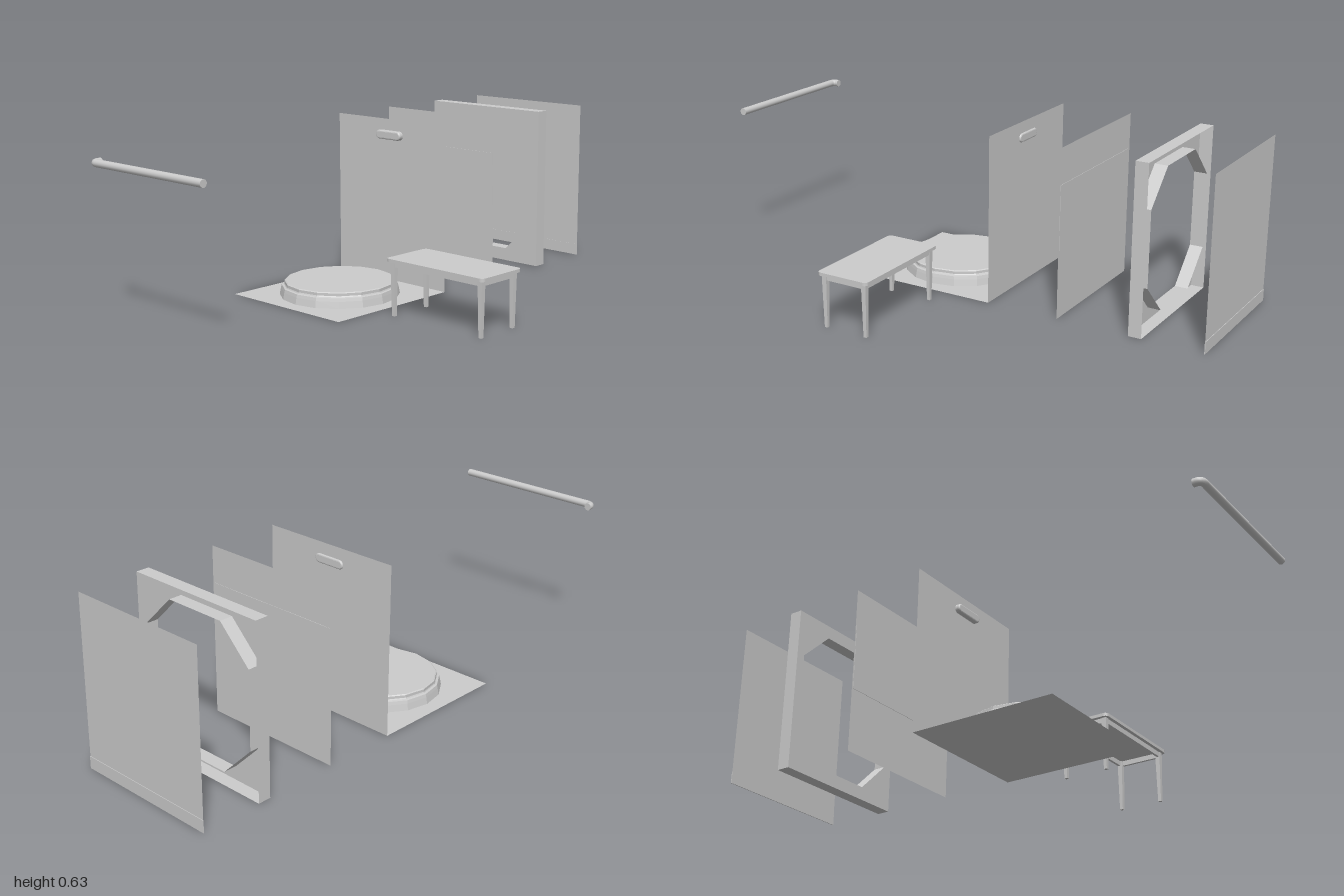
import * as THREE from 'three';
import { mergeVertices } from 'three/addons/utils/BufferGeometryUtils.js';

const CX = -0.235, W = 0.56, H = 0.635; // shared panel centre, width and height
const smooth = new THREE.MeshStandardMaterial({ color: 0xcccccc, side: THREE.DoubleSide });
const flat = new THREE.MeshStandardMaterial({ color: 0xcccccc, side: THREE.DoubleSide, flatShading: true });

export function createModel() {
  const model = new THREE.Group();

  const add = (name, geometry, x = 0, y = 0, z = 0, material = flat, parent = model) => {
    const mesh = new THREE.Mesh(geometry, material);
    mesh.name = name;
    mesh.position.set(x, y, z);
    parent.add(mesh);
    return mesh;
  };
  const group = (name) => {
    const g = new THREE.Group();
    g.name = name;
    model.add(g);
    return g;
  };

  // Floor sheet and three upright sheets
  add('floor', new THREE.PlaneGeometry(W, W), CX, 0, 0.13).rotation.x = -Math.PI / 2;
  add('frontWall', new THREE.PlaneGeometry(W, H), CX, H / 2, -0.15);
  add('middleWall', new THREE.PlaneGeometry(W, H), CX, H / 2, -0.435);
  add('middleWallPane', new THREE.BoxGeometry(W - 0.01, 0.26, 0.003), CX, 0.37, -0.435);
  add('backWall', new THREE.PlaneGeometry(W, H), CX, H / 2, -0.998);
  add('backWallSkirting', new THREE.BoxGeometry(W, 0.045, 0.003), CX, 0.0225, -0.9985);

  // Hollow surround: front plate with an octagonal opening, outer rim and inner rim
  const surround = group('surround');
  surround.position.set(CX, H / 2, -0.715);
  const outer = [[-W / 2, -H / 2], [W / 2, -H / 2], [W / 2, H / 2], [-W / 2, H / 2]];
  const octagon = [
    [-0.12, -0.267], [0.12, -0.267], [0.245, -0.143], [0.245, 0.143],
    [0.12, 0.267], [-0.12, 0.267], [-0.245, 0.143], [-0.245, -0.143],
  ];
  const toVectors = (points) => points.map(([x, y]) => new THREE.Vector2(x, y));
  const plate = new THREE.Shape(toVectors(outer));
  plate.holes.push(new THREE.Path(toVectors(octagon).reverse()));
  add('surroundPlate', new THREE.ShapeGeometry(plate), 0, 0, 0, flat, surround);
  const addRim = (name, points) => points.forEach(([x1, y1], i) => {
    const [x2, y2] = points[(i + 1) % points.length];
    const side = add(name, new THREE.PlaneGeometry(Math.hypot(x2 - x1, y2 - y1), 0.05),
      (x1 + x2) / 2, (y1 + y2) / 2, -0.025, flat, surround);
    side.rotation.set(Math.PI / 2, 0, Math.atan2(y2 - y1, x2 - x1), 'ZYX');
  });
  addRim('surroundOuterRim', outer);
  addRim('surroundInnerRim', octagon);

  // Stepped round basin on the floor
  const profile = [[0.227, 0], [0.222, 0.025], [0.219, 0.037], [0.211, 0.039],
    [0.209, 0.043], [0.209, 0.053], [0.205, 0.056], [0, 0.056]];
  add('roundPlatform', new THREE.LatheGeometry(toVectors(profile), 16), CX, 0, 0.13);

  // Pill-shaped handle on the front wall
  const pill = new THREE.Shape();
  pill.absarc(0.047, 0, 0.011, -Math.PI / 2, Math.PI / 2);
  pill.absarc(-0.047, 0, 0.011, Math.PI / 2, Math.PI * 1.5);
  add('handle', new THREE.ExtrudeGeometry(pill, {
    depth: 0.013, bevelSize: 0.006, bevelThickness: 0.006, bevelSegments: 3, curveSegments: 8,
  }), CX, 0.574, -0.15, smooth);

  // Towel bar with an elbow turned to the back
  const barPath = new THREE.CurvePath();
  const p = (x, z) => new THREE.Vector3(x, 0.568, z);
  barPath.add(new THREE.LineCurve3(p(0.045, 0.986), p(-0.525, 0.986)));
  barPath.add(new THREE.QuadraticBezierCurve3(p(-0.525, 0.986), p(-0.546, 0.986), p(-0.546, 0.966)));
  barPath.add(new THREE.LineCurve3(p(-0.546, 0.966), p(-0.546, 0.957)));
  add('rail', mergeVertices(new THREE.TubeGeometry(barPath, 120, 0.014, 14)), 0, 0, 0, smooth);
  add('railEnd', new THREE.CircleGeometry(0.014, 14), 0.045, 0.568, 0.986).rotation.y = Math.PI / 2;
  add('railElbowEnd', new THREE.CircleGeometry(0.014, 14), -0.546, 0.568, 0.957).rotation.y = Math.PI;

  // Table: rounded top, apron and four tapered legs
  const table = group('table');
  table.position.set(0.333, 0, 0.135);
  const tw = 0.222, td = 0.105, r = 0.016;
  const top = new THREE.Shape();
  top.absarc(tw - r, td - r, r, 0, Math.PI / 2);
  top.absarc(-tw + r, td - r, r, Math.PI / 2, Math.PI);
  top.absarc(-tw + r, -td + r, r, Math.PI, Math.PI * 1.5);
  top.absarc(tw - r, -td + r, r, Math.PI * 1.5, Math.PI * 2);
  const topGeometry = new THREE.ExtrudeGeometry(top, { depth: 0.012, bevelEnabled: false, curveSegments: 5 });
  add('tableTop', topGeometry, 0, 0.199, 0, flat, table).rotation.x = -Math.PI / 2;
  for (const s of [-1, 1]) {
    add('longApron', new THREE.BoxGeometry(0.39, 0.02, 0.01), 0, 0.19, s * 0.086, flat, table);
    add('shortApron', new THREE.BoxGeometry(0.01, 0.02, 0.155), s * 0.202, 0.19, 0, flat, table);
    for (const t of [-1, 1]) {
      const leg = new THREE.CylinderGeometry(0.0135, 0.0085, 0.2, 4, 1).rotateY(Math.PI / 4);
      add('tableLeg', leg, s * 0.2, 0.1, t * 0.084, flat, table);
    }
  }

  return model;
}
